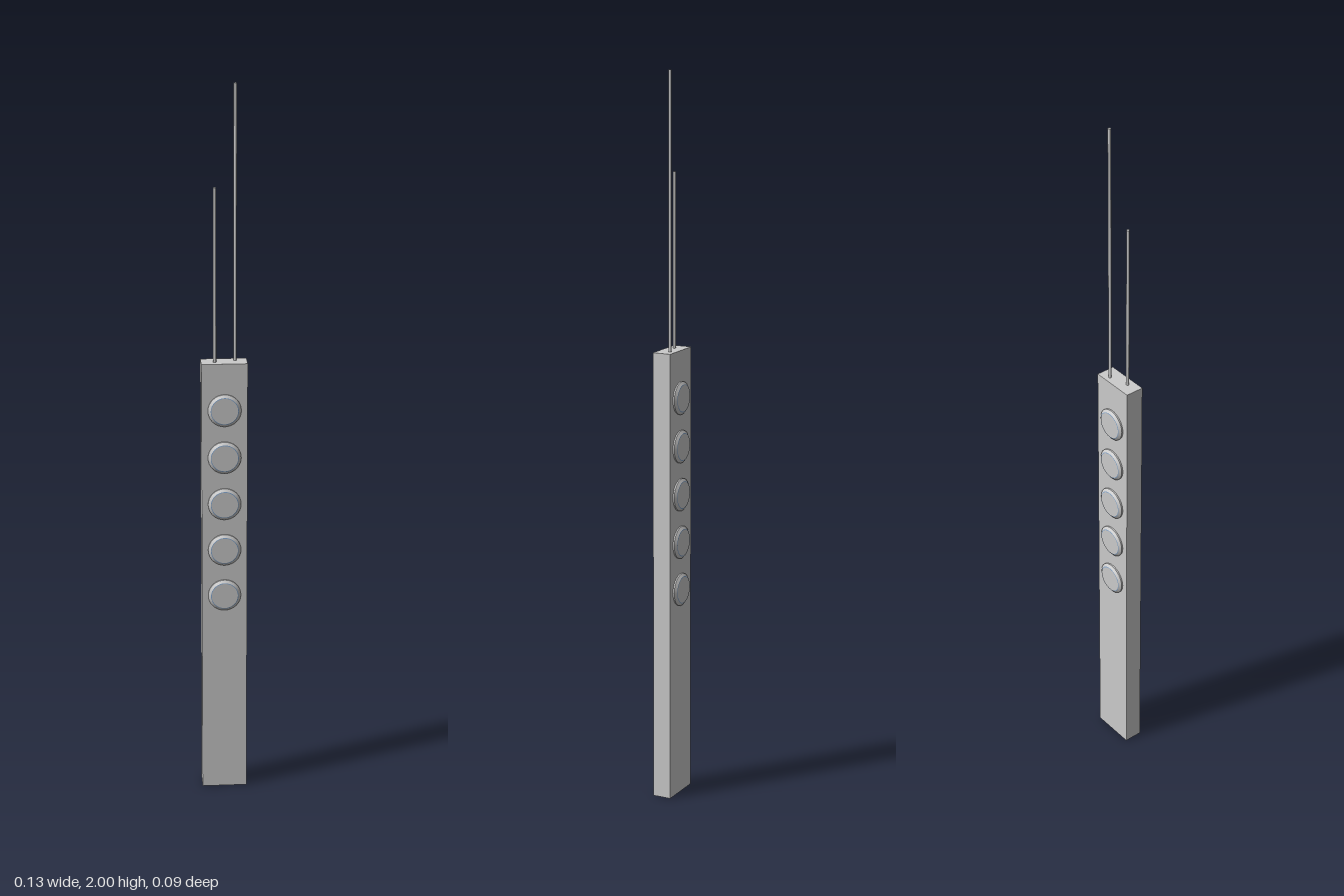
import * as THREE from 'three';

const grey = new THREE.MeshStandardMaterial({ color: 0xcccccc, side: THREE.DoubleSide });
const blue = new THREE.MeshStandardMaterial({ color: 0x7f9fc4, side: THREE.DoubleSide });

const W = 0.124, H = 1.255, D = 0.0515;

function part(name, geometry, material = grey) {
  const mesh = new THREE.Mesh(geometry, material);
  mesh.name = name;
  return mesh;
}

// Surface of revolution with crisp edges: one lathe per straight profile segment
function ring(name, r0, h0, r1, h1, material) {
  const points = [new THREE.Vector2(r0, h0), new THREE.Vector2(r1, h1)];
  return part(name, new THREE.LatheGeometry(points, 32), material);
}

// Round lamp with a bevelled rim, its axis along +z
function createLamp() {
  const lamp = new THREE.Group();
  lamp.name = 'lamp';
  lamp.add(
    ring('lampWall', 0.045, -0.002, 0.045, 0.004),
    ring('lampBevel', 0.045, 0.004, 0.038, 0.0095),
    ring('lampTrim', 0.038, 0.0095, 0.036, 0.01, blue),
    ring('lampFace', 0.036, 0.01, 0, 0.01)
  );
  lamp.rotation.x = Math.PI / 2;
  return lamp;
}

export function createModel() {
  const model = new THREE.Group();
  model.name = 'signalTower';

  const body = part('body', new THREE.BoxGeometry(W, H, D));
  body.position.y = H / 2;
  model.add(body);

  // Five lamps on the front and five on the back
  for (const side of [0, Math.PI]) {
    const row = new THREE.Group();
    row.name = side ? 'backLamps' : 'frontLamps';
    for (let i = 0; i < 5; i++) {
      const lamp = createLamp();
      lamp.position.set(0, 1.125 - i * 0.134, D / 2);
      row.add(lamp);
    }
    row.rotation.y = side;
    model.add(row);
  }

  // Two thin rods of different height on the roof
  for (const [name, x, z, top] of [['longAntenna', 0.03, -0.009, 2], ['shortAntenna', -0.025, 0.006, 1.73]]) {
    const rod = part(name, new THREE.CylinderGeometry(0.0042, 0.0042, top - H, 12));
    rod.position.set(x, (top + H) / 2, z);
    model.add(rod);
  }

  // The whole tower stands slightly turned
  model.rotation.y = 0.32;
  const root = new THREE.Group();
  root.name = 'model';
  root.add(model);
  return root;
}
